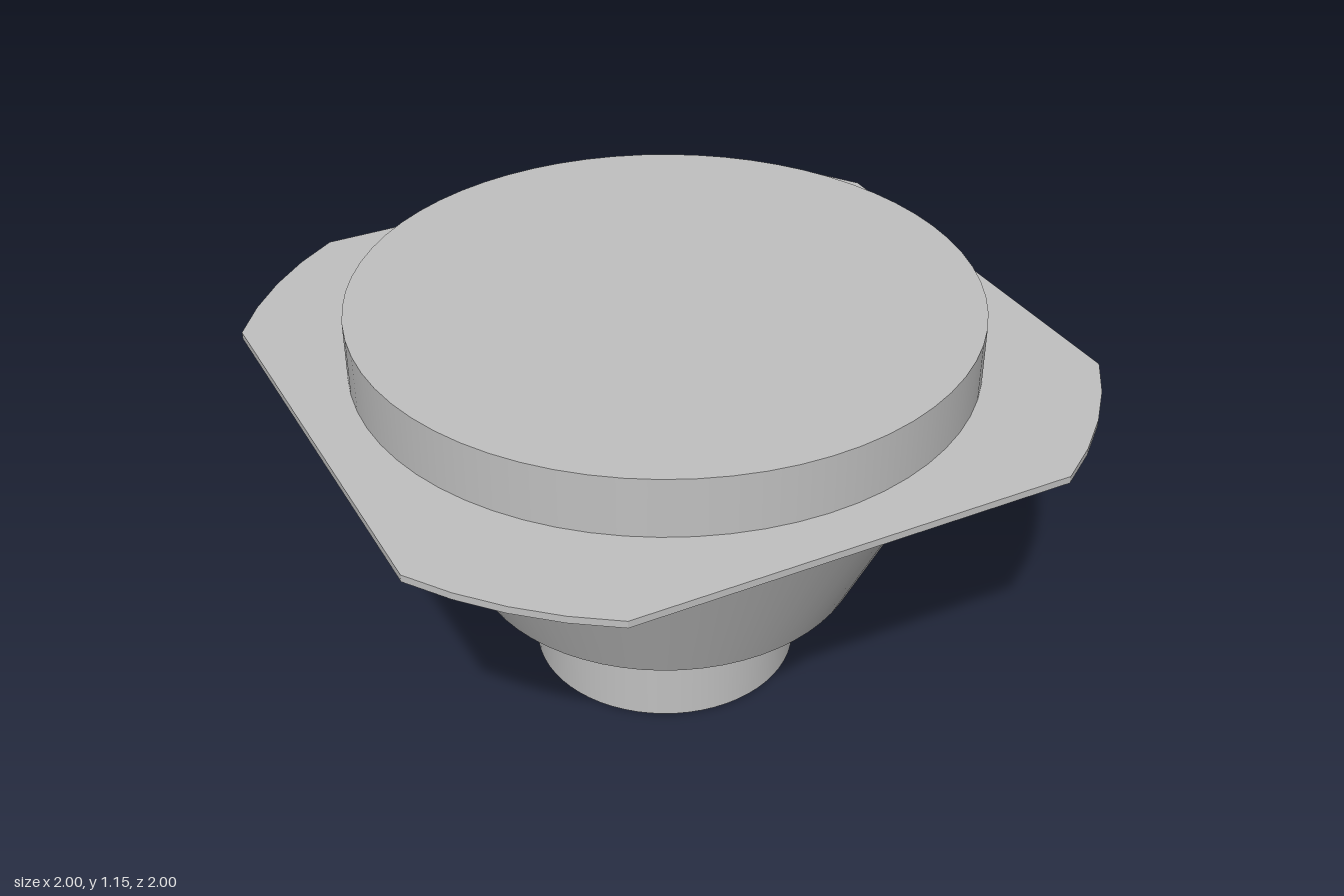
import * as THREE from 'three';

export function createModel() {
  const group = new THREE.Group();
  const grey = new THREE.MeshStandardMaterial({ color: 0xc0c0c0 });
  grey.name = 'light grey';

  const add = (name, geometry, y = 0) => {
    const mesh = new THREE.Mesh(geometry, grey);
    mesh.name = name;
    mesh.position.y = y;
    group.add(mesh);
  };

  // Round solid standing between two heights
  const addRound = (name, rTop, rBottom, y0, y1) =>
    add(name, new THREE.CylinderGeometry(rTop, rBottom, y1 - y0, 64), (y0 + y1) / 2);

  addRound('neck', 0.383, 0.383, 0, 0.32);
  addRound('taperedBody', 0.865, 0.565, 0.32, 0.97);
  addRound('topDisc', 0.858, 0.858, 0.985, 1.155);

  // Square flange whose corners are cut by a larger circle
  const half = 1, flat = 0.61, steps = 4;
  const radius = Math.hypot(half, flat);
  const start = Math.atan2(flat, half);
  const sweep = Math.PI / 2 - 2 * start;
  const outline = [];
  for (let corner = 0; corner < 4; corner++) {
    for (let i = 0; i <= steps; i++) {
      const a = corner * Math.PI / 2 + start + sweep * i / steps;
      outline.push(new THREE.Vector2(radius * Math.cos(a), radius * Math.sin(a)));
    }
  }
  const flange = new THREE.ExtrudeGeometry(new THREE.Shape(outline), { depth: 0.02, bevelEnabled: false });
  flange.rotateX(-Math.PI / 2);
  add('flange', flange, 0.968);

  return group;
}
